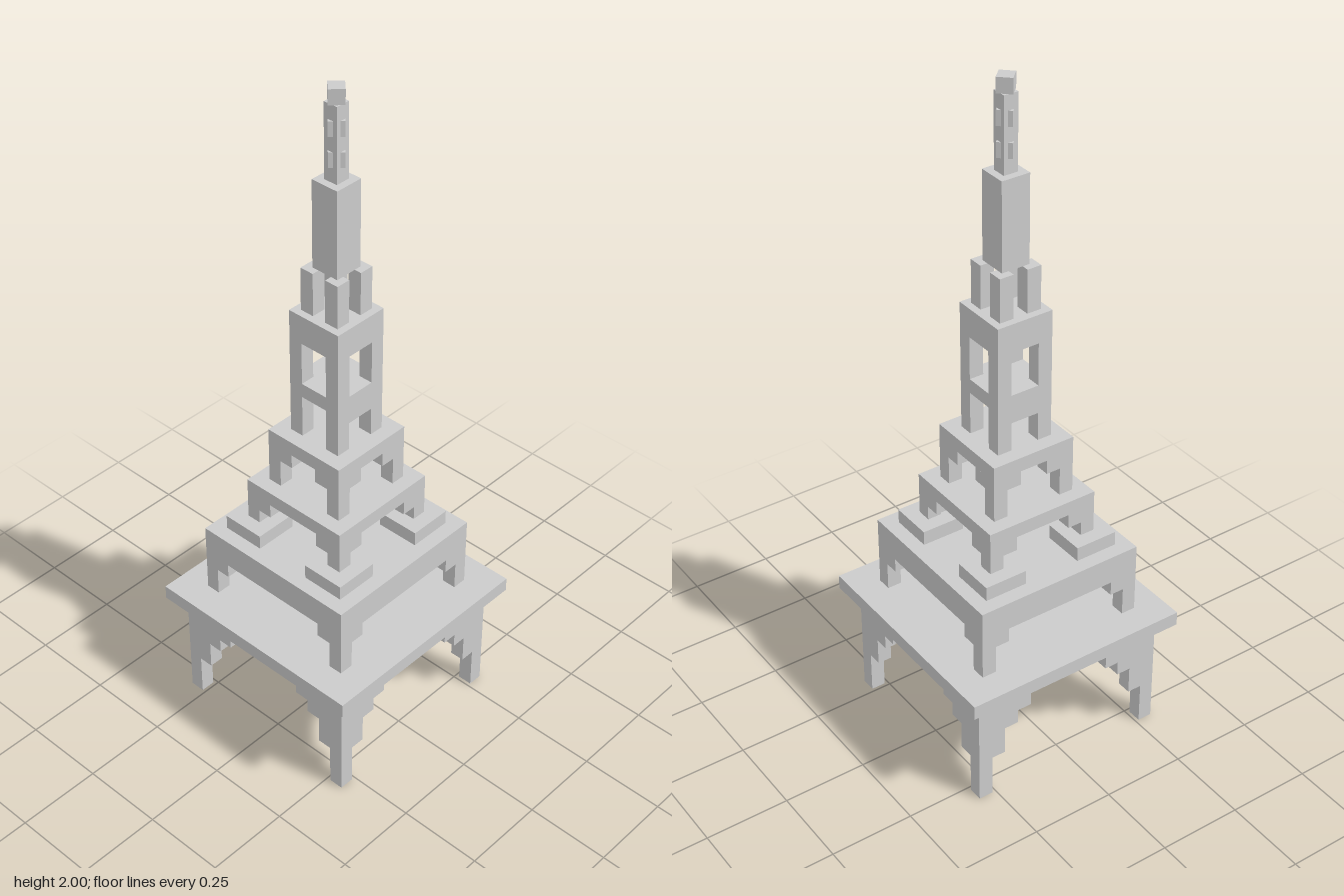
import * as THREE from 'three';

const U = 1 / 23; // one block unit; the tower is 46 blocks tall
const mat = new THREE.MeshStandardMaterial({ color: 0xcccccc, flatShading: true });

function add(parent, name, geometry) {
  const mesh = new THREE.Mesh(geometry, mat);
  mesh.name = name;
  parent.add(mesh);
  return mesh;
}

// box with centre x, z and a bottom and top height, in block units
function block(parent, name, w, d, y0, y1, x = 0, z = 0) {
  const mesh = add(parent, name, new THREE.BoxGeometry(w * U, (y1 - y0) * U, d * U));
  mesh.position.set(x * U, (y0 + y1) / 2 * U, z * U);
  return mesh;
}

const slab = (parent, name, half, y0, y1) => block(parent, name, half * 2, half * 2, y0, y1);

const polygon = (points) => points.map(([x, y]) => new THREE.Vector2(x * U, y * U));
const square = (h) => polygon([[-h, -h], [h, -h], [h, h], [-h, h]]);

// extrudes a plan outline upward from y0 to y1
function raise(shape, y0, y1) {
  const geo = new THREE.ExtrudeGeometry(shape, { depth: (y1 - y0) * U, bevelEnabled: false });
  return geo.rotateX(-Math.PI / 2).translate(0, y0 * U, 0);
}

// square ring one block thick
function ring(parent, name, half, y0, y1) {
  const shape = new THREE.Shape(square(half));
  shape.holes.push(new THREE.Path(square(half - 1).reverse()));
  add(parent, name, raise(shape, y0, y1));
}

// four corner pieces, L-shaped in plan, whose arms reach in to "inner"
function corners(parent, name, outer, inner, y0, y1) {
  const o = outer, i = inner, m = outer - 1;
  const plan = i < m
    ? [[i, m], [m, m], [m, i], [o, i], [o, o], [i, o]]
    : [[m, m], [o, m], [o, o], [m, o]];
  const geo = raise(new THREE.Shape(polygon(plan)), y0, y1);
  for (let k = 0; k < 4; k++) add(parent, name, geo).rotation.y = k * Math.PI / 2;
}

// stepped arches: each level is [bottom, top, inner reach]
function arches(parent, outer, levels) {
  for (const [y0, y1, inner] of levels) corners(parent, 'archLeg', outer, inner, y0, y1);
}

// four square blocks placed symmetrically
function four(parent, name, size, offset, y0, y1) {
  for (const x of [-offset, offset])
    for (const z of [-offset, offset]) block(parent, name, size, size, y0, y1, x, z);
}

export function createModel() {
  const model = new THREE.Group();
  model.name = 'tower';
  const part = (name) => {
    const g = new THREE.Group();
    g.name = name;
    model.add(g);
    return g;
  };

  // base arches carrying the wide platform
  const base = part('base');
  arches(base, 7, [[0, 3, 6], [3, 5, 5], [5, 6, 4], [6, 7, 3]]);
  ring(base, 'baseBeam', 7, 7, 8);
  slab(base, 'platform', 8, 8, 9);

  // second stage with corner pads on its roof
  const second = part('secondStage');
  arches(second, 6, [[9, 11, 5], [11, 12, 4]]);
  ring(second, 'secondBeam', 6, 12, 13);
  slab(second, 'secondDeck', 6, 13, 14);
  four(second, 'pad', 3, 3.5, 14, 15);

  // third and fourth stages
  const third = part('thirdStage');
  arches(third, 4, [[15, 16, 3], [16, 17, 2]]);
  slab(third, 'thirdDeck', 4, 17, 18);

  const fourth = part('fourthStage');
  arches(fourth, 3, [[18, 20, 2], [20, 21, 1]]);
  slab(fourth, 'fourthDeck', 3, 21, 22);

  // open shaft with a middle floor
  const shaft = part('shaft');
  corners(shaft, 'shaftPost', 2, 1, 22, 25);
  for (const z of [-1.5, 1.5]) block(shaft, 'floorBeam', 2, 1, 24, 25, 0, z);
  slab(shaft, 'middleFloor', 2, 25, 26);
  corners(shaft, 'shaftPost', 2, 1, 26, 29);
  ring(shaft, 'shaftBeam', 2, 29, 30);
  slab(shaft, 'shaftRoof', 2, 30, 31);

  // spire on four posts
  const spire = part('spire');
  four(spire, 'spirePost', 1, 1, 31, 34);
  slab(spire, 'spireColumn', 1, 34, 40);

  // mast with diagonal blocks
  const mast = part('mast');
  slab(mast, 'mastPole', 0.5, 40, 45);
  for (const y of [41, 43, 45]) slab(mast, 'mastBlock', 0.5, y, y + 1).rotation.y = Math.PI / 4;

  return model;
}
